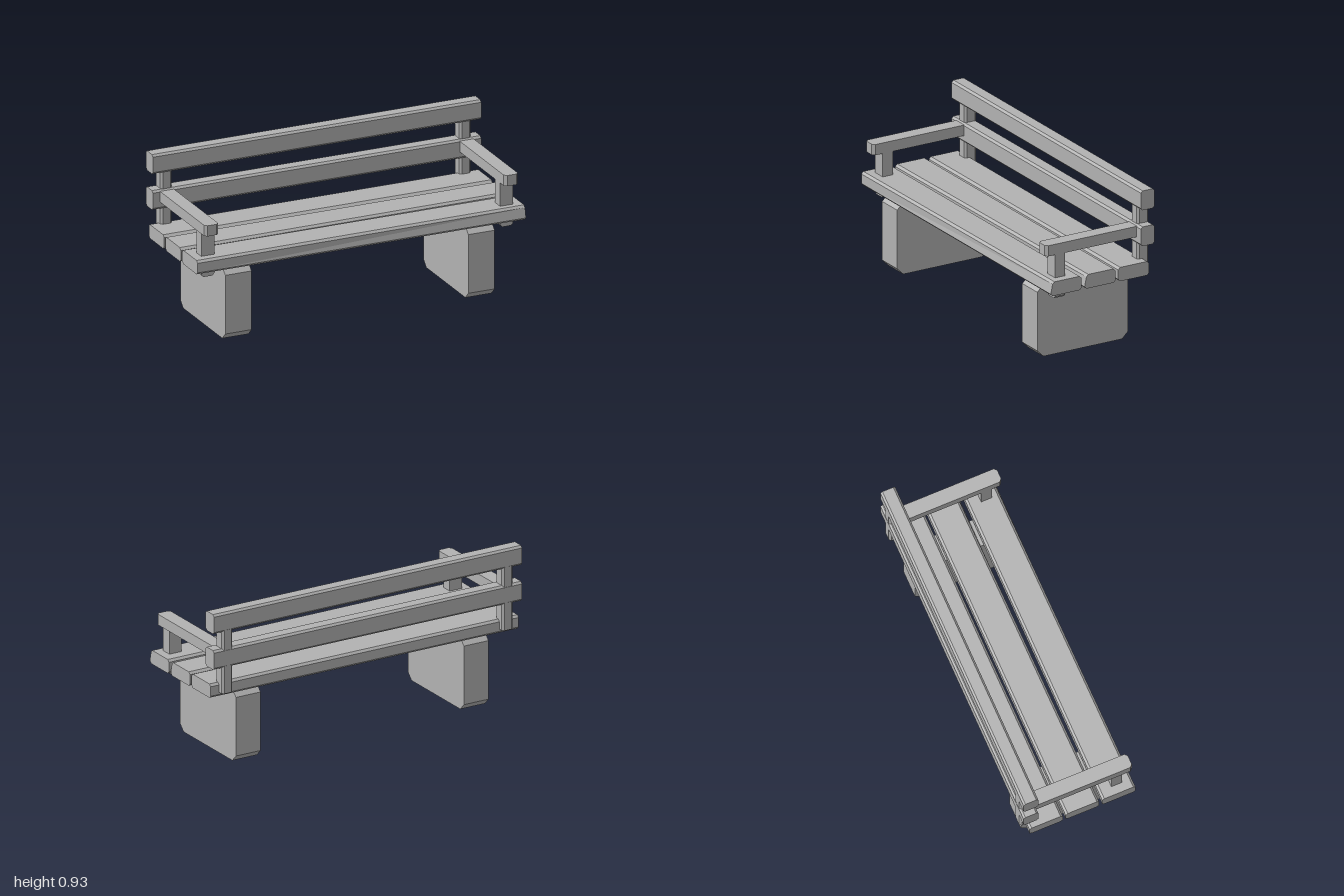
import * as THREE from 'three';

const grey = new THREE.MeshStandardMaterial({ color: 0xb2b2b2 });
grey.name = 'plain grey';

// Rectangle w by h with cut corners, centred on the origin
function cutRectangle(w, h, c) {
  const x = w / 2, y = h / 2;
  return new THREE.Shape([
    [x - c, -y], [x, c - y], [x, y - c], [x - c, y],
    [c - x, y], [-x, y - c], [-x, c - y], [c - x, -y],
  ].map(([a, b]) => new THREE.Vector2(a, b)));
}

// Beam between two corners; its chamfered cross-section runs along one axis
function beam(name, axis, min, max, chamfer) {
  const [sx, sy, sz] = min.map((v, i) => max[i] - v);
  const [w, h, d] = { x: [sz, sy, sx], y: [sx, sz, sy], z: [sx, sy, sz] }[axis];
  const geo = new THREE.ExtrudeGeometry(cutRectangle(w, h, chamfer), { depth: d, bevelEnabled: false });
  geo.translate(0, 0, -d / 2);
  if (axis === 'x') geo.rotateY(Math.PI / 2);
  if (axis === 'y') geo.rotateX(Math.PI / 2);
  geo.translate(...min.map((v, i) => (v + max[i]) / 2));
  const mesh = new THREE.Mesh(geo, grey);
  mesh.name = name;
  return mesh;
}

// Slightly warp a plank: its upper front edge leans back at the left end
function warp(mesh, midY, midZ) {
  const p = mesh.geometry.attributes.position;
  for (let i = 0; i < p.count; i++) {
    if (p.getX(i) > 0 && p.getY(i) > midY && p.getZ(i) > midZ) p.setZ(i, p.getZ(i) - 0.012);
  }
  mesh.geometry.computeVertexNormals();
}

export function createModel() {
  const bench = new THREE.Group();
  bench.name = 'bench';

  // Seat planks
  [['frontSeatPlank', 0.137, 0.337], ['middleSeatPlank', -0.083, 0.118], ['rearSeatPlank', -0.3, -0.1]]
    .forEach(([name, z0, z1], i) => {
      const plank = beam(name, 'x', [-1, 0.425, z0], [1, 0.507, z1], 0.013);
      if (i < 2) warp(plank, 0.466, (z0 + z1) / 2);
      bench.add(plank);
    });

  // Back rails
  bench.add(beam('lowerBackRail', 'x', [-1, 0.603, -0.336], [1, 0.717, -0.247], 0.012));
  bench.add(beam('upperBackRail', 'x', [-1, 0.815, -0.336], [1, 0.93, -0.247], 0.012));

  // Each side: leg block, back post, armrest and its support
  for (const [side, s] of [['left', 1], ['right', -1]]) {
    const add = (part, axis, [x0, x1], [y0, y1], [z0, z1], c) => {
      const xs = [s * x0, s * x1].sort((a, b) => a - b);
      bench.add(beam(side + part, axis, [xs[0], y0, z0], [xs[1], y1, z1], c));
    };
    add('Leg', 'x', [0.66, 0.82], [0, 0.425], [-0.275, 0.313], 0.039);
    add('BackPost', 'y', [0.875, 0.945], [0.45, 0.83], [-0.335, -0.258], 0.012);
    add('Armrest', 'y', [0.87, 0.955], [0.645, 0.708], [-0.27, 0.34], 0.015);
    add('ArmSupport', 'z', [0.87, 0.95], [0.383, 0.66], [0.213, 0.278], 0.013);
  }
  return bench;
}
